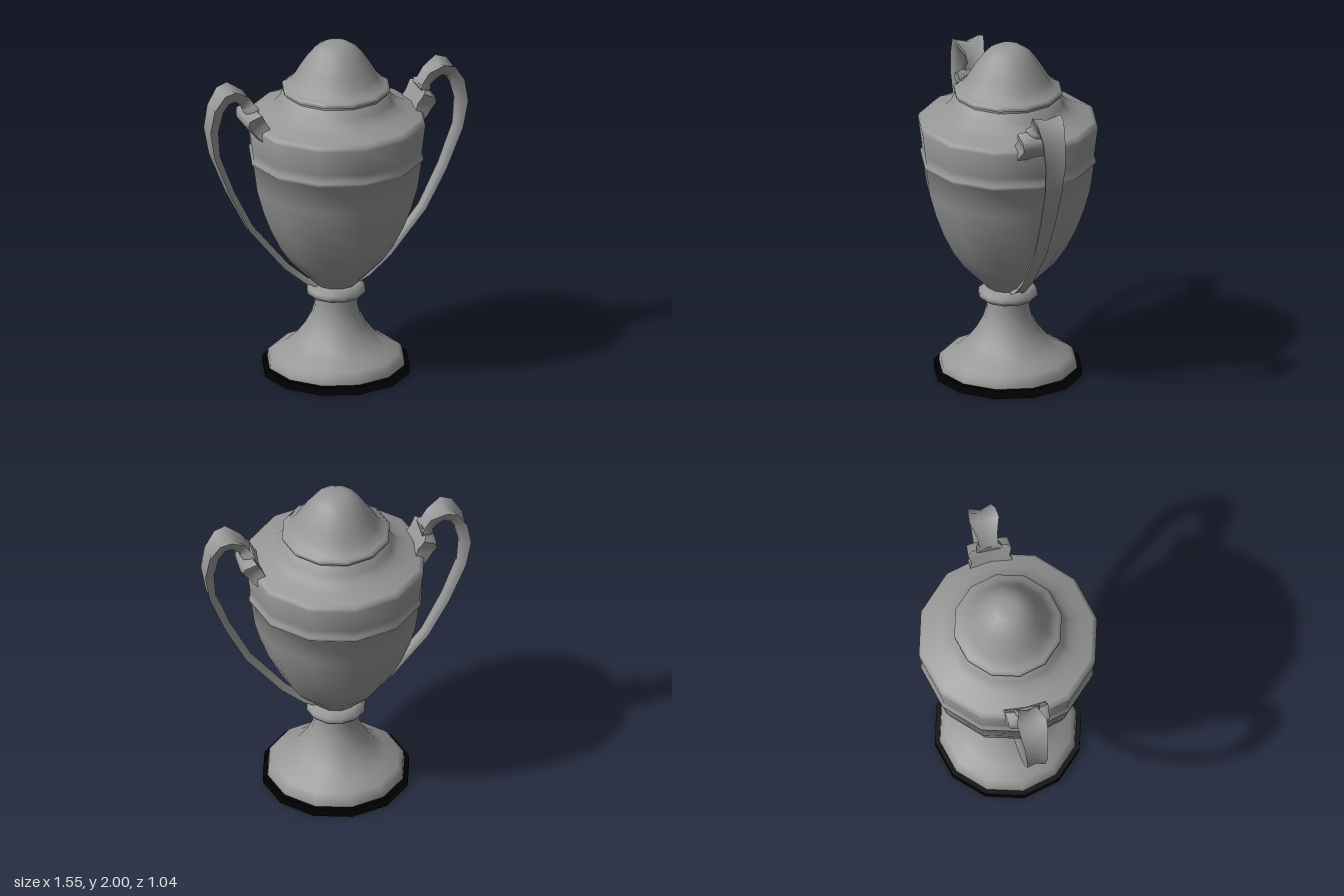
import * as THREE from 'three';
import { toCreasedNormals } from 'three/addons/utils/BufferGeometryUtils.js';

const SIDES = 12;
const grey = new THREE.MeshStandardMaterial({ color: 0x969696, side: THREE.DoubleSide });
const black = new THREE.MeshStandardMaterial({ color: 0x000000 });

// Turned part from [radius, y] points, bottom to top
function turned(name, profile) {
  const points = profile.map(([r, y]) => new THREE.Vector2(r, y));
  const geometry = toCreasedNormals(new THREE.LatheGeometry(points, SIDES), 0.95);
  const mesh = new THREE.Mesh(geometry, grey);
  mesh.name = name;
  return mesh;
}

// Cross-section: [sideways -1..1, depth 0 = outer face, 1 = inner face]
const handleSection = [[-1, 0], [0, 0.3], [1, 0], [0.9, 0.45], [0.55, 0.9], [0, 1], [-0.55, 0.9], [-0.9, 0.45]];
const leafSection = [[-1, 0], [0, 0.1], [1, 0], [0.95, 0.9], [0.6, 1], [-0.6, 1], [-0.95, 0.9]];

// Loft through stations [outerX, outerY, innerX, innerY, halfWidth], with closed ends
function loft(name, section, stations) {
  const n = section.length, positions = [], index = [];
  for (const [ox, oy, ix, iy, w] of stations) {
    for (const [s, t] of section) positions.push(ox + (ix - ox) * t, oy + (iy - oy) * t, s * w);
  }
  for (let i = 0; i < stations.length - 1; i++) {
    for (let j = 0; j < n; j++) {
      const a = i * n + j, b = i * n + (j + 1) % n;
      index.push(a, b, a + n, b, b + n, a + n);
    }
  }
  const last = (stations.length - 1) * n;
  for (let j = 1; j < n - 1; j++) {
    index.push(0, j + 1, j, last, last + j, last + j + 1);
  }
  const geometry = new THREE.BufferGeometry();
  geometry.setAttribute('position', new THREE.Float32BufferAttribute(positions, 3));
  geometry.setIndex(index);
  const mesh = new THREE.Mesh(toCreasedNormals(geometry, 1.1), grey);
  mesh.name = name;
  return mesh;
}

function createHandle(name) {
  const handle = new THREE.Group();
  handle.name = name;
  // Long strap, from the bowl's foot up and over to the collar
  handle.add(loft('strap', handleSection, [
    [0.13, 0.525, 0.11, 0.55, 0.035],
    [0.19, 0.55, 0.165, 0.57, 0.03],
    [0.32, 0.66, 0.285, 0.675, 0.03],
    [0.53, 0.92, 0.495, 0.935, 0.038],
    [0.65, 1.155, 0.61, 1.165, 0.045],
    [0.745, 1.395, 0.70, 1.40, 0.052],
    [0.773, 1.555, 0.71, 1.555, 0.06],
    [0.75, 1.69, 0.68, 1.67, 0.066],
    [0.69, 1.785, 0.65, 1.715, 0.08],
    [0.625, 1.805, 0.615, 1.725, 0.086],
    [0.54, 1.755, 0.58, 1.69, 0.058],
    [0.505, 1.70, 0.56, 1.67, 0.055],
    [0.49, 1.69, 0.562, 1.655, 0.075],
    [0.485, 1.665, 0.55, 1.635, 0.075],
  ]));
  // Broad flared leaf that grips the shoulder
  handle.add(loft('leaf', leafSection, [
    [0.50, 1.67, 0.545, 1.645, 0.10],
    [0.485, 1.66, 0.565, 1.625, 0.125],
    [0.47, 1.63, 0.572, 1.59, 0.12],
    [0.455, 1.605, 0.55, 1.56, 0.11],
    [0.435, 1.565, 0.515, 1.52, 0.125],
    [0.42, 1.54, 0.48, 1.485, 0.133],
  ]));
  return handle;
}

export function createModel() {
  const model = new THREE.Group();
  model.name = 'trophyUrn';

  // Plinth
  const plinth = new THREE.Mesh(new THREE.CylinderGeometry(0.425, 0.425, 0.048, SIDES), black);
  plinth.name = 'plinth';
  plinth.position.y = 0.024;
  model.add(plinth);

  model.add(turned('foot', [
    [0.398, 0.045], [0.393, 0.085], [0.363, 0.112], [0.29, 0.15], [0.23, 0.20],
    [0.18, 0.265], [0.14, 0.34], [0.125, 0.40], [0.12, 0.47],
  ]));
  model.add(turned('stemRing', [
    [0.115, 0.455], [0.155, 0.46], [0.172, 0.48], [0.168, 0.505], [0.14, 0.528], [0.11, 0.53],
  ]));
  // Bowl with its raised band and upper wall
  model.add(turned('bowl', [
    [0.115, 0.525], [0.14, 0.55], [0.2, 0.61], [0.268, 0.68], [0.33, 0.77],
    [0.39, 0.89], [0.435, 1.01], [0.472, 1.14], [0.495, 1.302], [0.505, 1.312],
    [0.505, 1.327], [0.495, 1.338], [0.499, 1.38], [0.518, 1.53], [0.512, 1.548], [0.492, 1.56],
  ]));
  model.add(turned('shoulder', [
    [0.496, 1.558], [0.42, 1.588], [0.36, 1.615], [0.325, 1.65], [0.305, 1.695], [0.28, 1.71],
  ]));
  model.add(turned('lidRim', [
    [0.28, 1.695], [0.298, 1.697], [0.298, 1.71], [0.312, 1.715], [0.312, 1.732], [0.298, 1.742],
  ]));
  model.add(turned('lid', [
    [0.3, 1.738], [0.27, 1.755], [0.24, 1.79], [0.205, 1.85], [0.165, 1.91],
    [0.12, 1.965], [0.075, 1.992], [0.035, 1.999], [0, 2],
  ]));

  // Matching handles on both sides
  const rightHandle = createHandle('rightHandle');
  rightHandle.rotation.y = Math.PI;
  model.add(createHandle('leftHandle'), rightHandle);
  return model;
}
